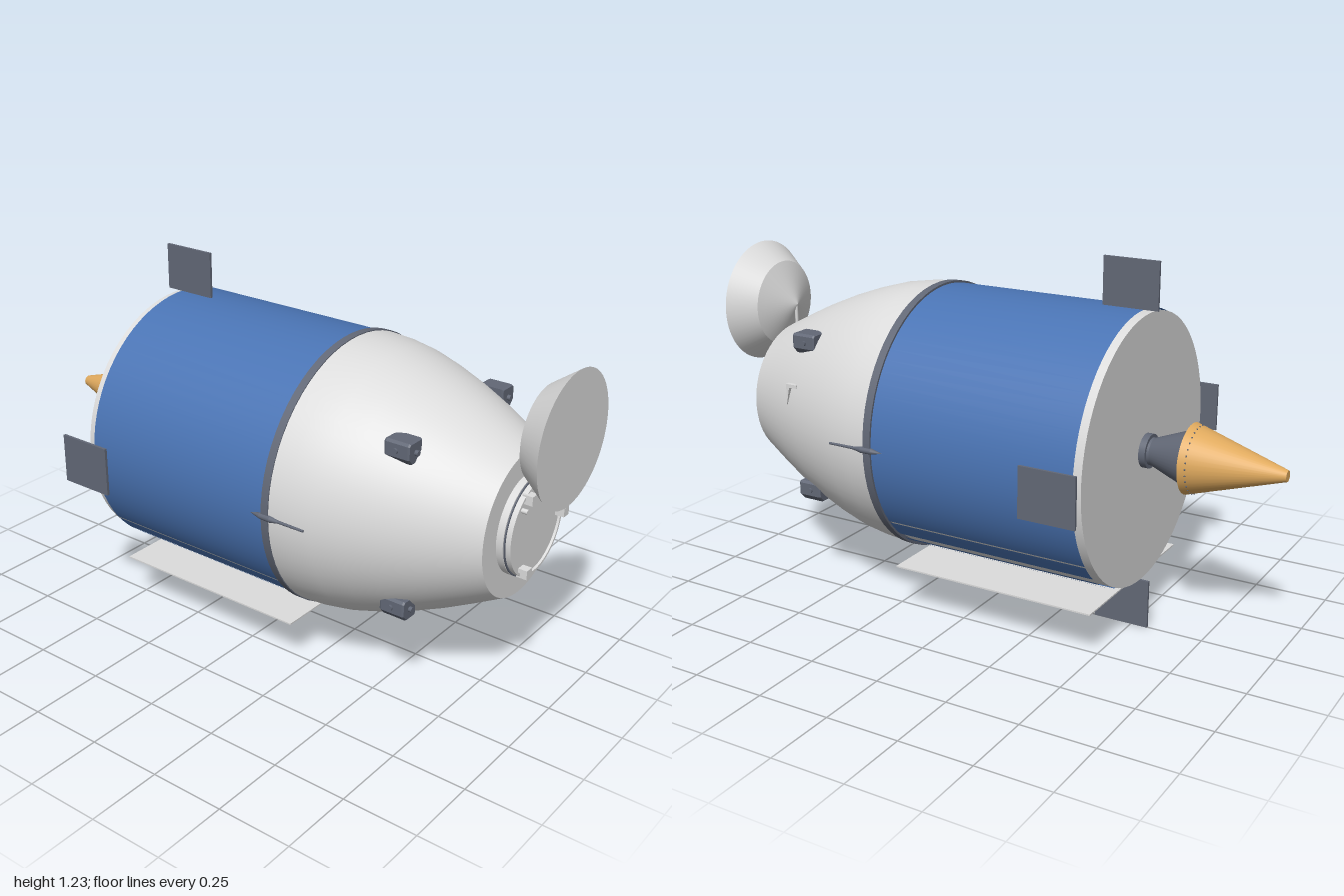
import * as THREE from 'three';

const AXIS_Y = 0.615; // height of the long axis of the hull

export function createModel() {
  const model = new THREE.Group();
  model.name = 'spacecraft';

  const mat = (name, color, side = THREE.FrontSide) => {
    const m = new THREE.MeshStandardMaterial({ color, side });
    m.name = name;
    return m;
  };
  const white = mat('hullWhite', 0xdcdcdc);
  const blue = mat('blanketBlue', 0x4a74b4, THREE.DoubleSide);
  const dark = mat('slateGrey', 0x626876);
  const gold = mat('nozzleGold', 0xe0aa5e);

  const add = (name, geometry, material, x = 0, y = 0, z = 0, parent = model) => {
    const mesh = new THREE.Mesh(geometry, material);
    mesh.name = name;
    mesh.position.set(x, y, z);
    parent.add(mesh);
    return mesh;
  };

  // Solid of revolution about z; points are [radius, z] from back to front
  const turned = (points, sharp = true, segments = 64) => {
    const pts = [];
    points.forEach(([r, z], i) => {
      pts.push(new THREE.Vector2(r, z));
      if (sharp && i > 0 && i < points.length - 1) pts.push(new THREE.Vector2(r, z));
    });
    return new THREE.LatheGeometry(pts, segments).rotateX(Math.PI / 2);
  };

  // Hull: service section core, joint ring and curved crew section
  add('serviceCore', turned([[0, -0.53], [0.446, -0.53], [0.446, 0.23], [0, 0.23]]), white, 0, AXIS_Y);
  add('jointRing', turned([[0.44, 0.215], [0.459, 0.215], [0.459, 0.242], [0.44, 0.242]]), dark, 0, AXIS_Y);
  add('crewSection', turned([
    [0.456, 0.24], [0.451, 0.31], [0.438, 0.39], [0.412, 0.48], [0.376, 0.58],
    [0.335, 0.675], [0.288, 0.77], [0.24, 0.862],
  ], false), white, 0, AXIS_Y);
  add('crewFrontFace', turned([[0.24, 0.862], [0, 0.862]]), white, 0, AXIS_Y);

  // Blue blanket: one wide wrap and narrow mirrored strips, angles from the bottom
  const blanketLength = 0.725;
  const blanket = (name, from, to) => {
    const rad = THREE.MathUtils.degToRad;
    const g = new THREE.CylinderGeometry(0.452, 0.452, blanketLength,
      Math.max(2, Math.ceil((to - from) / 5)), 1, true, rad(from), rad(to - from));
    add(name, g.rotateX(Math.PI / 2), blue, 0, AXIS_Y, -0.1425);
  };
  blanket('blanketWrap', 53.2, 306.8);
  for (const [a, b] of [[42, 52.2], [34, 37], [26, 29.5], [16, 20]]) {
    blanket('blanketStripLeft', a, b);
    blanket('blanketStripRight', 360 - b, 360 - a);
  }

  // Flat panel under the service section
  add('bellyPanel', new THREE.BoxGeometry(0.64, 0.005, 0.725), white, 0, 0.165, -0.1425);

  // Docking hatch with latches
  add('dockingRing', turned([
    [0.163, 0.86], [0.163, 0.885], [0.158, 0.885], [0.158, 0.908], [0.15, 0.908], [0.15, 0.9], [0, 0.9],
  ]), white, 0, AXIS_Y);
  add('hatchSeam', turned([[0.163, 0.887], [0.163, 0.891], [0.158, 0.891]]), dark, 0, AXIS_Y);
  for (let i = 0; i < 3; i++) {
    const a = (i * Math.PI * 2) / 3;
    add('hatchLatch', new THREE.BoxGeometry(0.03, 0.03, 0.035), white,
      0.142 * Math.cos(a), AXIS_Y + 0.142 * Math.sin(a), 0.913);
  }
  add('hatchKnob', new THREE.CylinderGeometry(0.008, 0.008, 0.02, 12).rotateX(Math.PI / 2),
    white, -0.088, 0.702, 0.91);

  // Antenna dish on a short mast
  add('antennaDish', turned([[0, 0.85], [0.15, 0.91], [0.214, 1.0], [0, 1.0]]), white, 0, 0.925);
  add('antennaMast', new THREE.CylinderGeometry(0.006, 0.006, 0.1, 10), white, 0, 0.88, 0.858);

  // Four thruster pods with one chamfered outer corner
  const pod = new THREE.Shape([
    [-0.03, -0.032], [0.016, -0.032], [0.032, -0.014], [0.032, 0.026], [0.026, 0.032], [-0.03, 0.032],
  ].map(([x, y]) => new THREE.Vector2(x, y)));
  for (const sx of [1, -1]) for (const sy of [1, -1]) {
    const group = new THREE.Group();
    group.name = 'thrusterPod';
    group.position.set(sx * 0.263, AXIS_Y + sy * 0.262, 0.555);
    if (sx < 0) group.rotation.y = Math.PI;
    const dir = sx; // pods on the right are turned about, so depth runs the other way
    const body = new THREE.ExtrudeGeometry(pod, {
      depth: 0.076, bevelEnabled: true, bevelSize: 0.003, bevelThickness: 0.006, bevelSegments: 1,
    });
    if (dir < 0) body.translate(0, 0, -0.076);
    add('podBody', body, dark, 0, 0, 0, group);
    add('podNozzle', new THREE.CylinderGeometry(0.009, 0.009, 0.014, 12).rotateX(Math.PI / 2),
      dark, 0, 0, dir * 0.086, group);
    add('podSideNozzle', new THREE.CylinderGeometry(0.009, 0.009, 0.012, 12).rotateZ(Math.PI / 2),
      dark, 0.036, 0.005, dir * 0.035, group);
    model.add(group);
  }

  // Side probes lying along the joint
  for (const s of [1, -1]) {
    add('sideProbe', turned([
      [0, 0.17], [0.01, 0.21], [0.011, 0.25], [0.005, 0.28], [0.004, 0.375], [0, 0.375],
    ], true, 12), dark, s * 0.455, AXIS_Y);
  }

  // Small handle on the left of the crew section
  const bracket = new THREE.Shape([[0, 0], [0.012, 0.06], [0.042, 0.06], [0.042, 0.072], [0, 0.072]]
    .map(([x, y]) => new THREE.Vector2(x, y)));
  const handle = add('handle', new THREE.ExtrudeGeometry(bracket, { depth: 0.016, bevelEnabled: false }),
    white, 0.338, 0.678, 0.628);
  handle.rotation.y = Math.PI / 2;

  // Four plate fins near the back
  for (const y of [1.147, 0.0825]) {
    add('verticalFin', new THREE.BoxGeometry(0.009, y > 1 ? 0.156 : 0.165, 0.19), dark, 0, y, -0.463);
  }
  for (const s of [1, -1]) {
    add('sideFin', new THREE.BoxGeometry(0.009, 0.165, 0.19), dark, s * 0.53, 0.617, -0.463);
  }

  // Engine: dark throat, gold cone and a ring of rivets
  add('engineThroat', turned([
    [0, -0.69], [0.095, -0.69], [0.045, -0.56], [0.045, -0.552], [0.056, -0.552], [0.056, -0.525],
  ], true, 40), dark, 0, AXIS_Y);
  add('engineCone', turned([
    [0, -1.0], [0.018, -1.0], [0.115, -0.686], [0, -0.686],
  ], true, 40), gold, 0, AXIS_Y);
  const rivet = new THREE.SphereGeometry(0.003, 6, 4);
  for (let i = 0; i < 32; i++) {
    const a = (i * Math.PI * 2) / 32;
    add('rivet', rivet, dark, 0.108 * Math.cos(a), AXIS_Y + 0.108 * Math.sin(a), -0.71);
  }

  return model;
}
